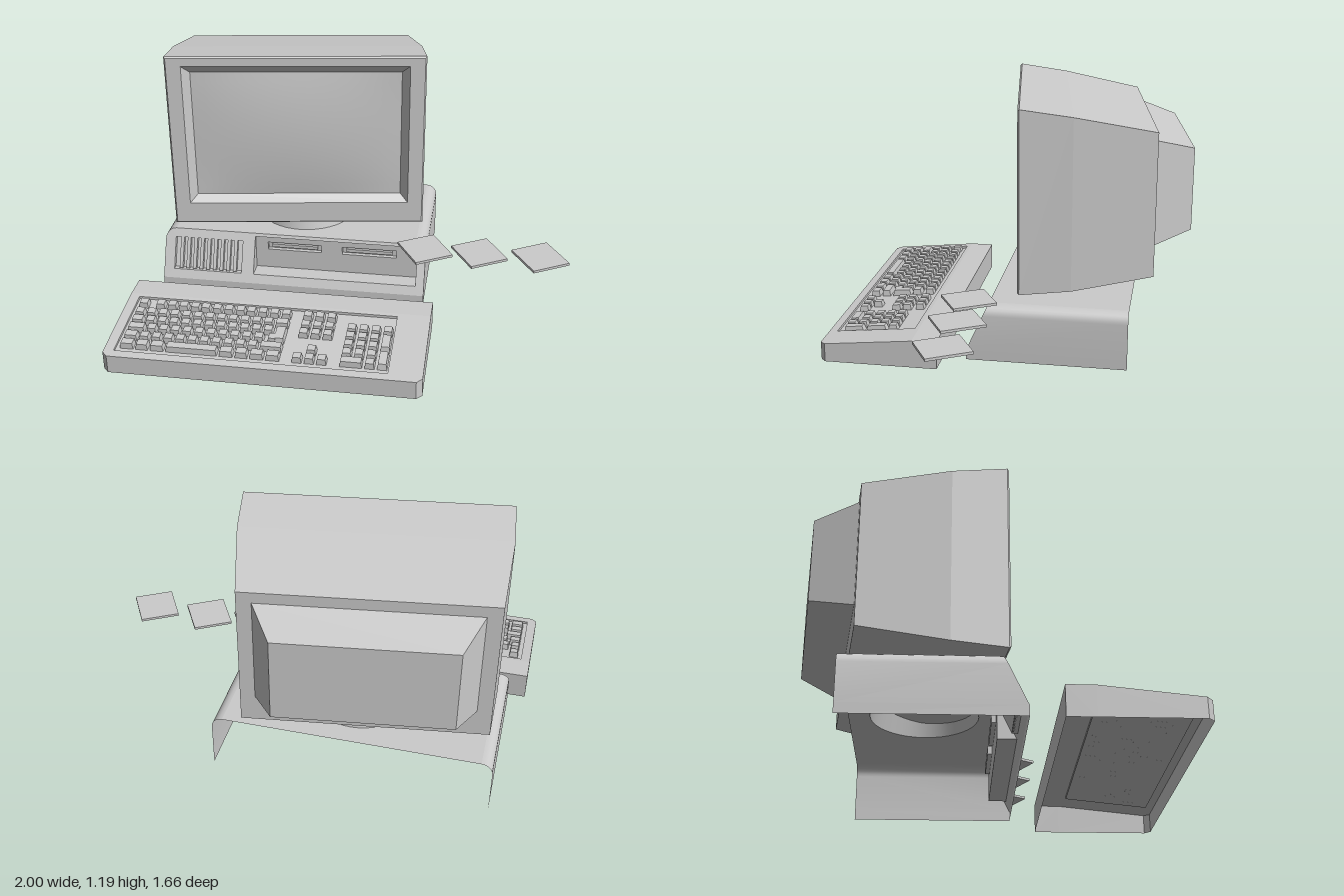
import * as THREE from 'three';
import { mergeGeometries, toCreasedNormals } from 'three/addons/utils/BufferGeometryUtils.js';

const grey = new THREE.MeshStandardMaterial({ color: 0xcccccc, side: THREE.DoubleSide });

function part(parent, name, geometry, x = 0, y = 0, z = 0) {
  const mesh = new THREE.Mesh(geometry, grey);
  mesh.name = name;
  mesh.position.set(x, y, z);
  parent.add(mesh);
  return mesh;
}

// Skin between cross-sections that have the same number of points
function loft(rings, closed = true) {
  const n = rings[0].length, index = [];
  for (let i = 0; i < rings.length - 1; i++) {
    for (let j = 0; j < (closed ? n : n - 1); j++) {
      const a = i * n + j, b = i * n + (j + 1) % n;
      index.push(a, a + n, b + n, a, b + n, b);
    }
  }
  const g = new THREE.BufferGeometry();
  g.setAttribute('position', new THREE.Float32BufferAttribute(rings.flat(2), 3));
  g.setIndex(index);
  return toCreasedNormals(g, 0.5);
}

const corners = (x0, y0, x1, y1) => [[x0, y0], [x1, y0], [x1, y1], [x0, y1]];
const toShape = pts => new THREE.Shape(pts.map(p => new THREE.Vector2(...p)));

// Flat sheet with holes, every corner placed in space by a rule
function sheet(outline, holes, place) {
  const shape = toShape(outline);
  shape.holes.push(...holes.map(toShape));
  const g = new THREE.ShapeGeometry(shape), p = g.attributes.position;
  for (let i = 0; i < p.count; i++) p.setXYZ(i, ...place(p.getX(i), p.getY(i)));
  g.computeVertexNormals();
  return g;
}

function circle(cx, cy, r, n = 40) {
  return Array.from({ length: n }, (_, i) => {
    const a = i / n * Math.PI * 2;
    return [cx + r * Math.cos(a), cy + r * Math.sin(a)];
  });
}

function makeCase() {
  const group = new THREE.Group();
  group.name = 'systemUnit';
  const L = -0.92, R = 0.34, r = 0.05, top = 0.3, low = 0.035, back = -0.58;
  const frontZ = y => 0.15 - Math.max(0, y - 0.08) / 0.22 * 0.1;
  const arc = (cx, a0) => Array.from({ length: 7 }, (_, i) => {
    const a = a0 - i / 6 * Math.PI / 2;
    return [cx + r * Math.cos(a), top - r + r * Math.sin(a)];
  });
  const leftArc = arc(L + r, Math.PI), rightArc = arc(R - r, Math.PI / 2);

  // Side walls with rounded shoulders, open below and behind
  for (const [name, line] of [
    ['rightWall', [[L, low], [L, 0.08], ...leftArc]],
    ['leftWall', [...rightArc, [R, 0.08], [R, low]]],
  ]) {
    part(group, name, loft([line.map(([x, y]) => [x, y, back]), line.map(([x, y]) => [x, y, frontZ(y)])], false));
  }
  // Top with a round opening under the stand
  part(group, 'caseTop', sheet(corners(L + r, -0.05, R - r, -back), [circle(-0.277, 0.252, 0.235)],
    (x, y) => [x, top, -y]));

  // Sloping front with a vent pocket and a drive bay
  const vent = corners(-0.87, 0.12, -0.54, 0.262), bay = corners(-0.48, 0.12, 0.3, 0.286);
  part(group, 'caseFront', sheet([[L, 0.08], [R, 0.08], ...rightArc.slice().reverse(), ...leftArc.slice().reverse()],
    [vent, bay], (x, y) => [x, y, frontZ(y)]));
  part(group, 'frontSkirt', sheet(corners(L, low, R, 0.08), [], (x, y) => [x, y, 0.15]));

  // Vent pocket and slats
  const ventBack = (x, y) => [x, y, frontZ(y) - 0.025];
  part(group, 'ventBack', sheet(vent, [], ventBack));
  part(group, 'ventSides', loft([vent.map(p => ventBack(...p)), vent.map(([x, y]) => [x, y, frontZ(y)])]));
  for (let i = 0; i < 9; i++) {
    const slat = part(group, 'ventSlat', new THREE.BoxGeometry(0.016, 0.154, 0.02),
      -0.837 + i * 0.033, 0.191, frontZ(0.191) - 0.011);
    slat.rotation.x = -Math.atan(0.1 / 0.22);
  }

  // Drive bay with two disk slots
  const bayZ = 0.05;
  const slots = [-0.29, 0.07].map(x => corners(x - 0.13, 0.218, x + 0.13, 0.256));
  part(group, 'driveBayBack', sheet(bay, slots, (x, y) => [x, y, bayZ]));
  part(group, 'driveBaySides', loft([bay.map(([x, y]) => [x, y, bayZ]), bay.map(([x, y]) => [x, y, frontZ(y)])]));
  for (const s of slots) {
    const x = (s[0][0] + s[1][0]) / 2;
    part(group, 'slotSides', loft([s.map(p => [...p, bayZ - 0.02]), s.map(p => [...p, bayZ])]));
    part(group, 'slotBack', new THREE.PlaneGeometry(0.26, 0.038), x, 0.237, bayZ - 0.02);
    part(group, 'slotFlap', new THREE.BoxGeometry(0.22, 0.016, 0.014), x, 0.237, bayZ - 0.012);
  }
  return group;
}

function makeMonitor() {
  const group = new THREE.Group();
  group.name = 'monitor';
  const ring = ([w, y0, y1, z]) => corners(-w, y0, w, y1).map(p => [...p, z]);
  const shell = (name, sections) => part(group, name, loft(sections.map(ring)).toNonIndexed?.() ?? null);
  const add = (name, sections) => part(group, name, loft(sections.map(ring)));

  // Bezel, tapering housing and rear tube cover
  add('bezel', [[0.48, 0.49, 1.105, -0.035], [0.515, 0.457, 1.145, 0], [0.582, 0.357, 1.183, 0], [0.589, 0.35, 1.19, -0.008]]);
  add('housing', [[0.589, 0.35, 1.19, -0.008], [0.58, 0.365, 1.155, -0.24]]);
  add('housingTaper', [[0.58, 0.365, 1.155, -0.24], [0.5315, 0.42, 1.08, -0.61]]);
  add('rearFrame', [[0.5315, 0.42, 1.08, -0.61], [0.4675, 0.545, 1.03, -0.61]]);
  add('tubeCover', [[0.4675, 0.545, 1.03, -0.61], [0.3765, 0.595, 0.975, -0.79]]);
  const cap = part(group, 'tubeCoverBack', new THREE.PlaneGeometry(0.753, 0.38), 0, 0.785, -0.79);
  cap.rotation.y = Math.PI;

  // Gently bulging screen
  const screen = new THREE.PlaneGeometry(0.96, 0.615, 16, 12), p = screen.attributes.position;
  for (let i = 0; i < p.count; i++) {
    const u = p.getX(i) / 0.48, v = p.getY(i) / 0.3075;
    p.setZ(i, 0.025 * (1 - u * u) * (1 - v * v));
  }
  screen.computeVertexNormals();
  part(group, 'screen', screen, 0, 0.7975, -0.035);

  group.position.set(-0.273, 0, 0.005);
  group.rotation.y = 0.145;
  return group;
}

function makeKeyboard() {
  const group = new THREE.Group();
  group.name = 'keyboard';
  const slope = 0.045 / 0.435;
  const topY = z => 0.13 - Math.max(0, z - 0.39) * slope;
  const onTop = (x, y) => [x, topY(-y), -y];

  // Hollow body with clipped front corners and a sunken key tray
  const rim = [[-1, 0.275], [-1, 0.39], [-1, 0.8], [-0.975, 0.825], [0.37, 0.825], [0.395, 0.8], [0.395, 0.39], [0.395, 0.275]];
  part(group, 'keyboardWalls', loft([rim.map(([x, z]) => [x, topY(z), z]), rim.map(([x, z]) => [x, 0, z])]));
  const tray = corners(-0.955, -0.785, 0.245, -0.41);
  part(group, 'keyboardRear', sheet(corners(-1, -0.39, 0.395, -0.275), [], onTop));
  part(group, 'keyboardTop', sheet(rim.slice(1, 7).map(([x, z]) => [x, -z]), [tray], onTop));
  const sunk = (x, y) => [x, topY(-y) - 0.012, -y];
  part(group, 'keyTray', sheet(tray, [], sunk));
  part(group, 'keyTraySides', loft([tray.map(p => sunk(...p)), tray.map(p => onTop(...p))]));

  // Keys: tapered blocks laid out in rows
  const keys = [], unit = 0.054, rows = [0.455, 0.519, 0.572, 0.625, 0.68, 0.735];
  const key = (x0, x1, z, depth = 0.042) => {
    const g = new THREE.BoxGeometry(x1 - x0 - 0.011, 0.028, depth), p = g.attributes.position;
    for (let i = 0; i < p.count; i++) {
      if (p.getY(i) > 0) p.setXYZ(i, p.getX(i) - Math.sign(p.getX(i)) * 0.004, p.getY(i), p.getZ(i) * 0.84);
    }
    g.rotateX(Math.atan(slope));
    g.translate((x0 + x1) / 2, topY(z) + 0.002, z);
    g.computeVertexNormals();
    keys.push(g);
  };
  const run = (x, z, widths) => widths.forEach(w => { key(x, x + w * unit, z); x += w * unit; });
  const ones = n => Array(n).fill(1);
  const start = -0.942;
  run(start, rows[0], [1]);
  for (const x of [-0.863, -0.652, -0.441]) run(x, rows[0], ones(4));
  run(start, rows[1], [...ones(12), 1.3]);
  run(start, rows[2], [1.2, ...ones(11)]);
  run(start, rows[3], [1.6, ...ones(10)]);
  run(start, rows[4], [1.3, ...ones(10), 2]);
  run(start, rows[5], [1.3, 1.2, 1.3, 4.4, 1.3, 1.2, 1.3, 1.3]);
  key(-0.283, -0.224, 0.598, 0.095);
  key(-0.308, -0.26, rows[3]);
  for (const i of [0, 1, 2, 5]) run(-0.18, rows[i], ones(3));
  run(-0.18 + unit, rows[4], [1]);
  run(0.028, rows[1], ones(4));
  for (const i of [2, 3, 4]) run(0.028, rows[i], ones(3));
  run(0.028, rows[5], [2, 1]);
  for (const z of [0.598, 0.708]) key(0.19, 0.244, z, 0.097);
  part(group, 'keys', mergeGeometries(keys));
  return group;
}

export function createModel() {
  const model = new THREE.Group();
  model.name = 'desktopComputer';
  model.add(makeCase(), makeMonitor(), makeKeyboard());

  // Round stand between case and monitor
  part(model, 'monitorStand', new THREE.CylinderGeometry(0.215, 0.235, 0.085, 40, 1, true), -0.277, 0.3425, -0.252);

  // Three loose disks
  for (const x of [0.34, 0.59, 0.868]) {
    part(model, 'disk', new THREE.BoxGeometry(0.185, 0.012, 0.203), x, 0.325, 0.133).rotation.y = Math.PI / 6;
  }
  return model;
}
